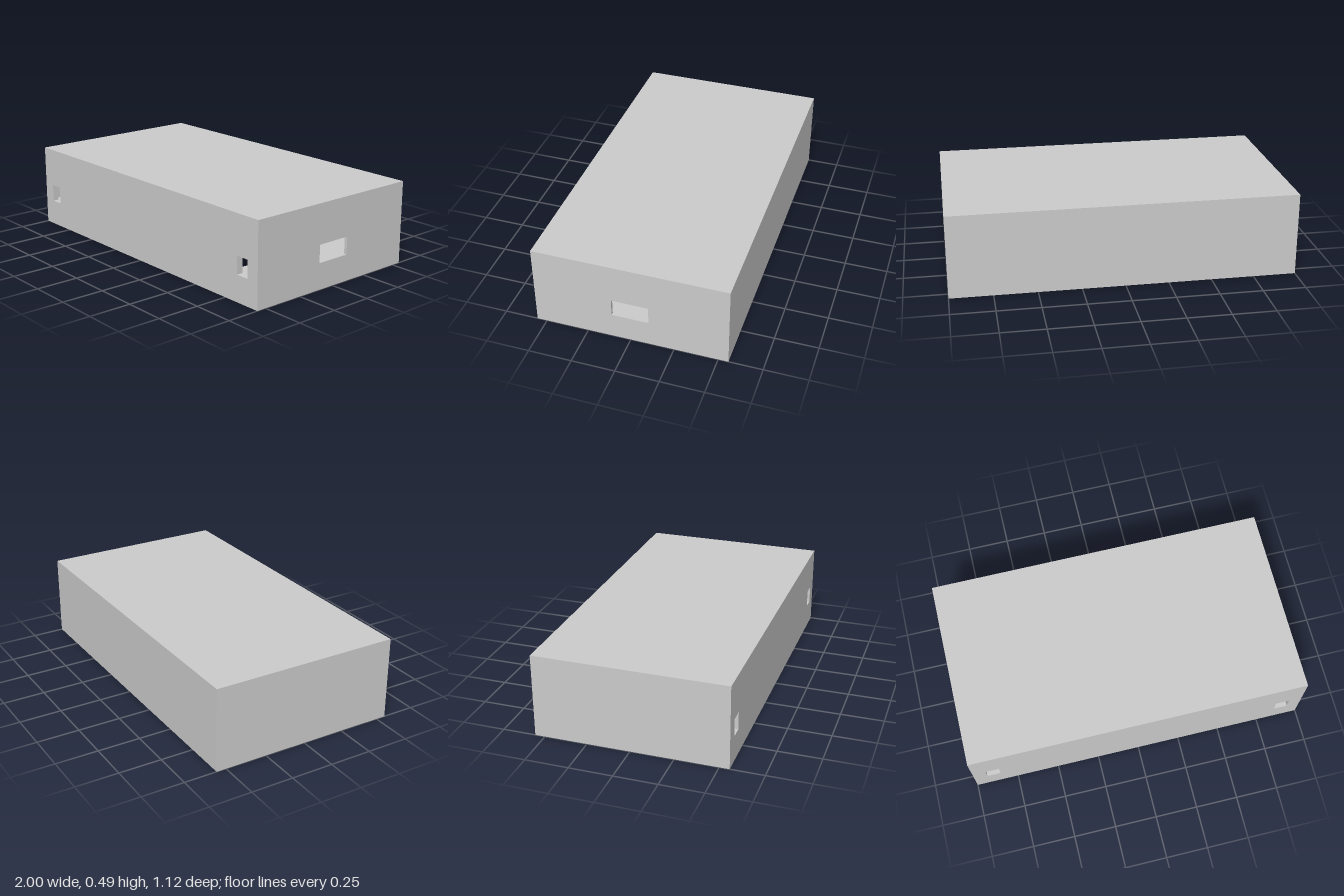
import * as THREE from 'three';

const W = 2, H = 0.49, D = 1.115;           // overall size
const T_LONG = 0.037, T_END = 0.018, T_TOP = 0.02; // wall thicknesses
const SLOT_Y0 = 0.154, SLOT_Y1 = 0.258;
const LEDGE_IN = 0.765, LEDGE_H = 0.15;

const material = new THREE.MeshStandardMaterial({ color: 0xcccccc, flatShading: true });

function add(group, name, geometry, x = 0, y = 0, z = 0) {
  const mesh = new THREE.Mesh(geometry, material);
  mesh.name = name;
  mesh.position.set(x, y, z);
  group.add(mesh);
  return mesh;
}

// Upright panel, centred on its width and thickness, with slots given as [from, to]
function panel(width, height, thickness, slots = []) {
  const shape = new THREE.Shape([
    new THREE.Vector2(-width / 2, 0), new THREE.Vector2(width / 2, 0),
    new THREE.Vector2(width / 2, height), new THREE.Vector2(-width / 2, height),
  ]);
  for (const [a, b] of slots) {
    shape.holes.push(new THREE.Path([
      new THREE.Vector2(a, SLOT_Y0), new THREE.Vector2(a, SLOT_Y1),
      new THREE.Vector2(b, SLOT_Y1), new THREE.Vector2(b, SLOT_Y0),
    ]));
  }
  return new THREE.ExtrudeGeometry(shape, { depth: thickness, bevelEnabled: false })
    .translate(0, 0, -thickness / 2);
}

export function createModel() {
  const model = new THREE.Group();
  model.name = 'enclosure';
  const wallH = H - T_TOP;
  const innerD = D - 2 * T_LONG;

  // Closed top
  add(model, 'topPanel', new THREE.BoxGeometry(W, T_TOP, D), 0, H - T_TOP / 2, 0);

  // Long walls: two small slots in the front, plain back
  const zWall = (D - T_LONG) / 2;
  add(model, 'frontWall', panel(W, wallH, T_LONG, [[-0.923, -0.843], [0.843, 0.923]]), 0, 0, zWall);
  add(model, 'backWall', panel(W, wallH, T_LONG), 0, 0, -zWall);

  // End walls: one wide slot on the +x end only
  const xWall = (W - T_END) / 2;
  add(model, 'leftEndWall', panel(innerD, wallH, T_END, [[-0.106, 0.106]]), xWall).rotation.y = Math.PI / 2;
  add(model, 'rightEndWall', panel(innerD, wallH, T_END), -xWall).rotation.y = Math.PI / 2;

  // Raised ledges inside both ends, leaving the underside open between them
  const ledgeOut = W / 2 - T_END;
  for (const side of [-1, 1]) {
    add(model, side > 0 ? 'leftLedge' : 'rightLedge',
      new THREE.BoxGeometry(ledgeOut - LEDGE_IN, LEDGE_H, innerD),
      side * (ledgeOut + LEDGE_IN) / 2, LEDGE_H / 2, 0);
  }
  return model;
}
